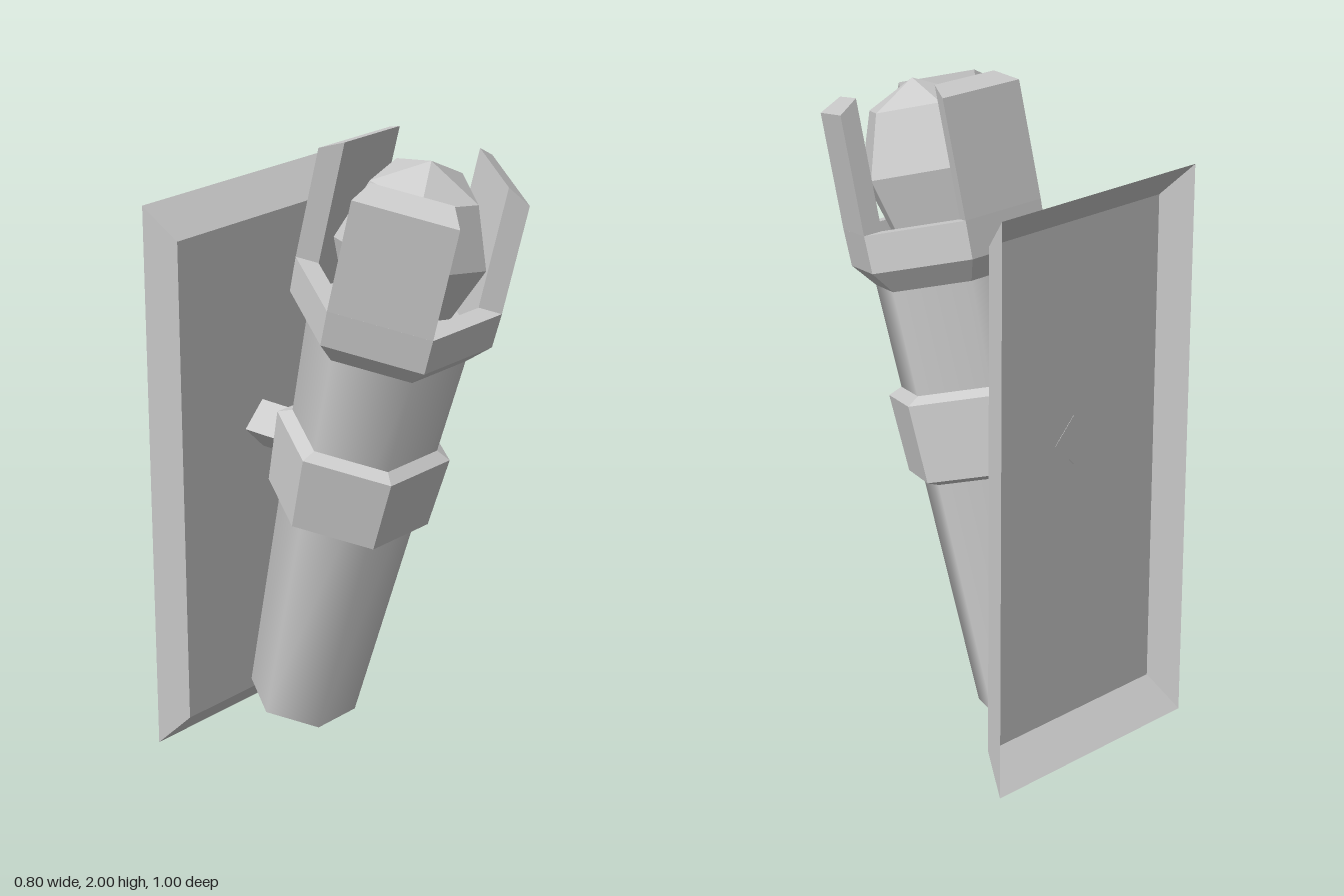
import * as THREE from 'three';

export function createModel() {
  const model = new THREE.Group();
  const flat = new THREE.MeshStandardMaterial({ color: 0xcccccc, flatShading: true });
  const smooth = new THREE.MeshStandardMaterial({ color: 0xcccccc });
  const thin = new THREE.MeshStandardMaterial({ color: 0xcccccc, flatShading: true, side: THREE.DoubleSide });

  const add = (parent, name, geometry, material = flat) => {
    const mesh = new THREE.Mesh(geometry, material);
    mesh.name = name;
    parent.add(mesh);
    return mesh;
  };

  // Six-sided turned part with flat sides to the front and back
  const hexLathe = (profile) => new THREE.LatheGeometry(
    profile.map(([r, y]) => new THREE.Vector2(r, y)), 6, Math.PI / 6);

  // Wall plate: a shallow tray, open at the back
  const plate = new THREE.Group();
  plate.name = 'wallPlate';
  model.add(plate);
  const taper = 0.885, depth = 0.095;
  const rim = new THREE.CylinderGeometry(taper * Math.SQRT2, Math.SQRT2, depth, 4, 1, true, Math.PI / 4);
  rim.rotateX(Math.PI / 2).scale(0.4, 0.885, 1);
  add(plate, 'plateBevel', rim, thin);
  const face = new THREE.PlaneGeometry(0.8 * taper, 1.77 * taper);
  add(plate, 'plateFace', face, thin).position.z = depth / 2;
  plate.position.set(0, 0.885, -0.5 + depth / 2);

  // Square bar set on its corner, joining plate and torch
  const barLength = 0.24;
  const bar = add(model, 'bracketBar', new THREE.BoxGeometry(0.11, 0.11, barLength));
  bar.rotation.z = Math.PI / 4;
  bar.position.set(0, 0.997, -0.406 + barLength / 2);

  // Torch, leaning forward
  const torch = new THREE.Group();
  torch.name = 'torch';
  torch.position.set(0, 0.105, -0.245);
  torch.rotation.x = THREE.MathUtils.degToRad(15);
  model.add(torch);

  // Tapered handle with a blunt point below
  const handle = new THREE.CylinderGeometry(0.244, 0.173, 1.33, 6, 1, true, Math.PI / 6);
  add(torch, 'handle', handle.translate(0, 0.665, 0), smooth);
  add(torch, 'handleTip', hexLathe([[0, -0.065], [0.173, 0]]), smooth);

  // Collar round the handle
  add(torch, 'collar', hexLathe([[0.21, 0.73], [0.254, 0.748], [0.271, 0.988], [0.224, 1.01]]));

  // Hollow cup at the top
  add(torch, 'cup', hexLathe([
    [0.244, 1.329], [0.309, 1.398], [0.313, 1.512], [0.243, 1.512], [0.243, 1.42], [0, 1.42],
  ]));

  // Three upright guards on alternate sides of the cup, tops sloping outward
  for (const angle of [Math.PI / 3, -Math.PI / 3, Math.PI]) {
    const geometry = new THREE.BoxGeometry(2, 2, 2);
    const p = geometry.attributes.position;
    for (let i = 0; i < p.count; i++) {
      const outer = p.getZ(i) > 0;
      const distance = outer ? 0.271 : 0.21;
      const top = outer ? 1.868 : 1.906;
      p.setXYZ(i, p.getX(i) * distance * Math.tan(Math.PI / 6), p.getY(i) > 0 ? top : 1.51, distance);
    }
    geometry.computeVertexNormals();
    add(torch, 'guard', geometry).rotation.y = angle;
  }

  // Faceted ember with five sides
  const ember = add(torch, 'ember', new THREE.SphereGeometry(0.235, 5, 4, Math.PI));
  ember.scale.y = 1.13;
  ember.position.set(0, 1.66, 0.013);

  return model;
}
